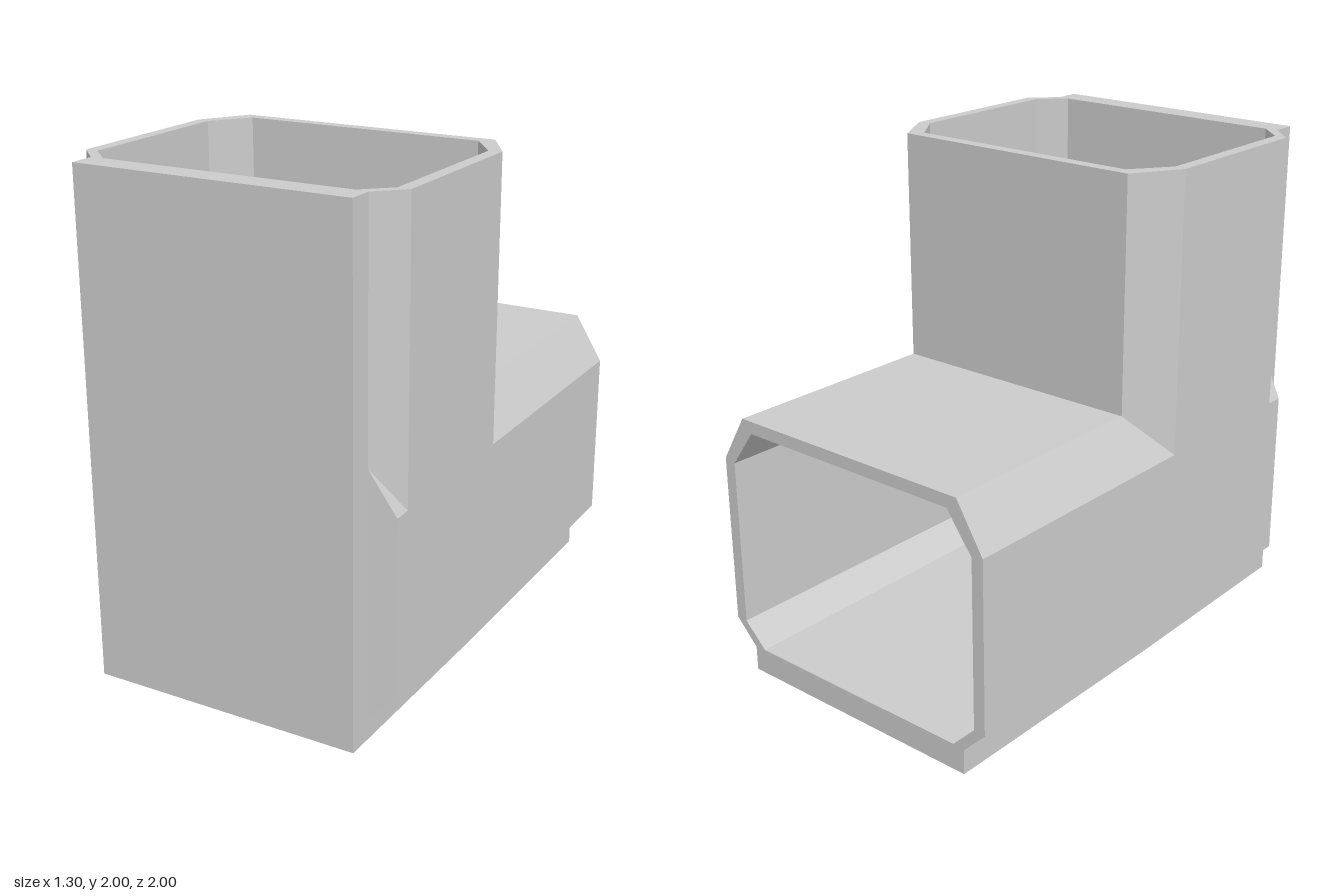
import * as THREE from 'three';

const material = new THREE.MeshStandardMaterial({ color: 0xcccccc, flatShading: true });

// Flat-shaded mesh from planar polygons, corners counter-clockwise from outside
function polygonMesh(name, polygons) {
  const pos = [];
  for (const p of polygons) {
    for (let i = 1; i < p.length - 1; i++) pos.push(...p[0], ...p[i], ...p[i + 1]);
  }
  const geometry = new THREE.BufferGeometry();
  geometry.setAttribute('position', new THREE.Float32BufferAttribute(pos, 3));
  geometry.computeVertexNormals();
  const mesh = new THREE.Mesh(geometry, material);
  mesh.name = name;
  return mesh;
}

// Right half of a profile mirrored to a closed loop of [x, distance from outer bend]
const mirrorProfile = half => [...half, ...half.map(([x, u]) => [-x, u]).reverse()];

// Profile placed at the back mouth, the mitre and the top mouth
const sections = profile => [
  profile.map(([x, u]) => [x, u, -1]),
  profile.map(([x, u]) => [x, u, 1 - u]),
  profile.map(([x, u]) => [x, 2, 1 - u]),
];

function elbowDuct() {
  const outer = sections(mirrorProfile([[0.55, 0.1], [0.65, 0.2], [0.65, 0.89], [0.535, 1.08]]));
  const inner = sections(mirrorProfile([[0.5, 0.105], [0.6, 0.2], [0.6, 0.88], [0.49, 1.03]]));
  const faces = [];
  const n = outer[0].length;
  for (let i = 0; i < n; i++) {
    const j = (i + 1) % n;
    for (let s = 0; s < 2; s++) {
      faces.push([outer[s][i], outer[s][j], outer[s + 1][j], outer[s + 1][i]]);
      faces.push([inner[s][i], inner[s + 1][i], inner[s + 1][j], inner[s][j]]);
    }
    // rims of the two mouths
    faces.push([outer[0][i], inner[0][i], inner[0][j], outer[0][j]]);
    faces.push([outer[2][i], outer[2][j], inner[2][j], inner[2][i]]);
  }
  return polygonMesh('elbowDuct', faces);
}

// L-shaped plate under the floor and up the front
function backingPlate() {
  const shape = new THREE.Shape([
    [-1, 0], [0.1, 0], [1, 0.015], [1, 2], [0.9, 2], [0.9, 0.1], [-1, 0.1],
  ].map(([z, y]) => new THREE.Vector2(z, y)));
  const geometry = new THREE.ExtrudeGeometry(shape, { depth: 1.1, bevelEnabled: false });
  geometry.rotateY(-Math.PI / 2).translate(0.55, 0, 0);
  const mesh = new THREE.Mesh(geometry, material);
  mesh.name = 'backingPlate';
  return mesh;
}

// Wedge that squares off the lower duct beside the front plate
function cornerWedge(side) {
  const plan = [[0.55, 0.9, 0.1, 1.06], [0.65, 0.875, 0.2, 0.89], [0.65, 0.8, 0.2, 0.89]];
  const low = plan.map(([x, z, y]) => [side * x, y, z]);
  const high = plan.map(([x, z, , y]) => [side * x, y, z]);
  const faces = [[...low].reverse(), high];
  for (let i = 0; i < 3; i++) {
    const j = (i + 1) % 3;
    faces.push([low[i], low[j], high[j], high[i]]);
  }
  if (side < 0) faces.forEach(f => f.reverse());
  return polygonMesh(side > 0 ? 'leftCornerWedge' : 'rightCornerWedge', faces);
}

export function createModel() {
  const group = new THREE.Group();
  group.name = 'ductElbow';
  group.add(elbowDuct(), backingPlate(), cornerWedge(1), cornerWedge(-1));
  return group;
}
